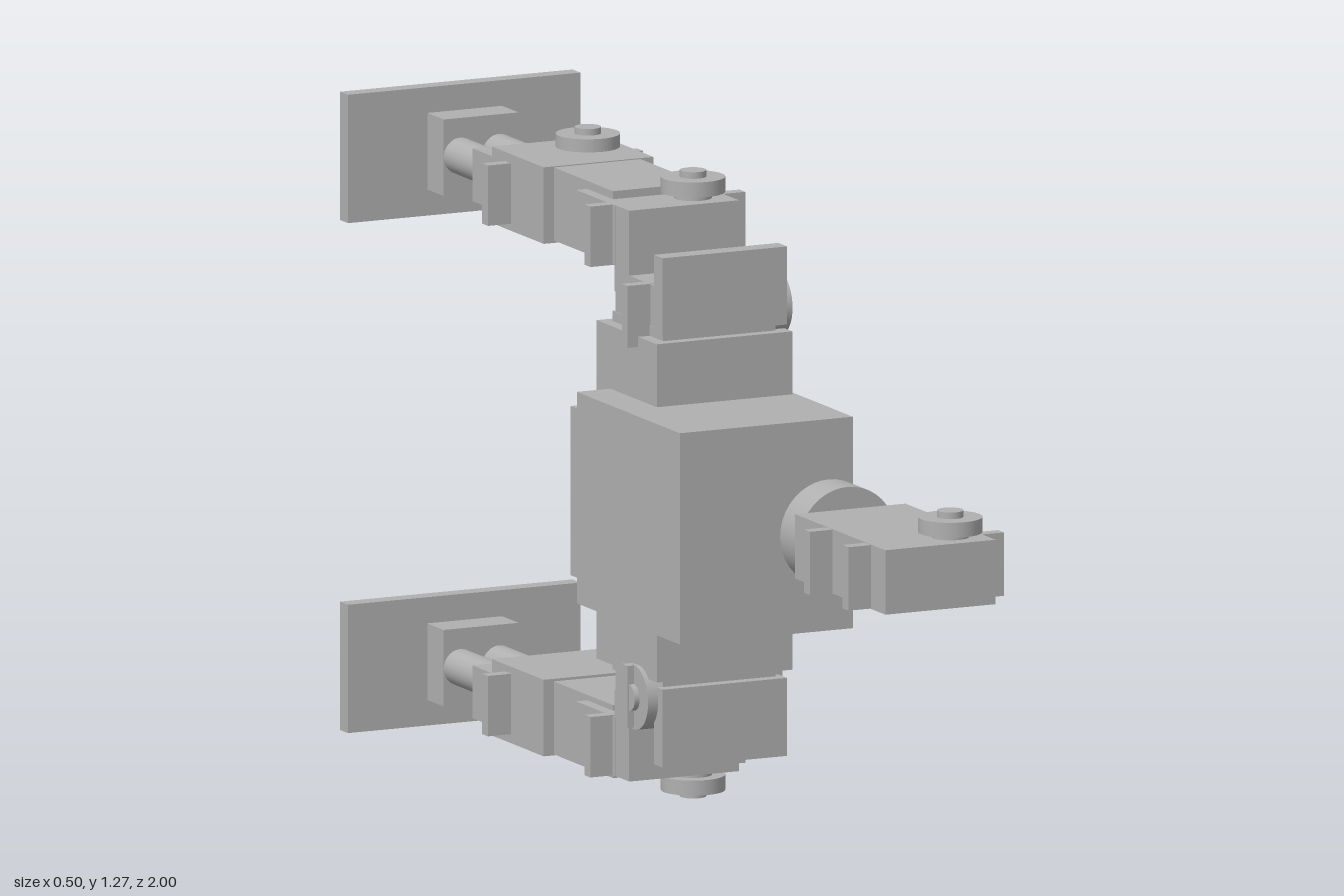
import * as THREE from 'three';

const MID = 0.634; // height of the mirror plane between the two arms

export function createModel() {
  const root = new THREE.Group();
  const grey = new THREE.MeshStandardMaterial({ color: 0xb0b0b0 });

  const add = (parent, geo, name) => {
    const mesh = new THREE.Mesh(geo, grey);
    mesh.name = name;
    parent.add(mesh);
    return mesh;
  };
  // box given by its extents along each axis
  const box = (parent, name, [x0, x1], [y0, y1], [z0, z1]) =>
    add(parent, new THREE.BoxGeometry(Math.abs(x1 - x0), Math.abs(y1 - y0), Math.abs(z1 - z0)), name)
      .position.set((x0 + x1) / 2, (y0 + y1) / 2, (z0 + z1) / 2);
  const cyl = (parent, name, r, h, pos, axis = 'y') => {
    const geo = new THREE.CylinderGeometry(r, r, h, 40);
    if (axis === 'z') geo.rotateX(Math.PI / 2);
    if (axis === 'x') geo.rotateZ(Math.PI / 2);
    add(parent, geo, name).position.set(...pos);
  };
  // flat joint knob: stem, wide disc and small cap; dir is up or down
  const knob = (parent, x, y, z, dir) => {
    const g = new THREE.Group();
    g.name = 'jointKnob';
    cyl(g, 'knobStem', 0.037, 0.03, [0, dir * 0.005, 0]);
    cyl(g, 'knobDisc', 0.063, 0.03, [0, dir * 0.025, 0]);
    cyl(g, 'knobCap', 0.026, 0.02, [0, dir * 0.043, 0]);
    g.position.set(x, y, z);
    parent.add(g);
  };

  // torso
  const body = new THREE.Group();
  body.name = 'body';
  box(body, 'spine', [-0.147, 0.147], [0.298, 0.97], [-0.08, 0.188]);
  box(body, 'housing', [-0.22, 0.155], [0.425, 0.845], [-0.018, 0.44]);
  box(body, 'housingBackStep', [-0.2, 0.135], [0.467, 0.803], [-0.086, -0.018]);
  root.add(body);

  // front sensor barrel with its separate ring
  const barrel = new THREE.Group();
  barrel.name = 'frontBarrel';
  cyl(barrel, 'barrelRing', 0.105, 0.084, [0.07, 0.635, 0.548], 'z');
  box(barrel, 'barrelBlock', [-0.048, 0.191], [0.57, 0.698], [0.6, 1]);
  for (const z of [0.753, 0.924])
    box(barrel, 'barrelClip', [-0.097, 0.24], [0.571, 0.697], [z - 0.013, z + 0.013]);
  knob(barrel, 0.125, 0.698, 0.934, 1);
  root.add(barrel);

  // upper and lower arms, mirrored in height
  for (const s of [1, -1]) {
    const arm = new THREE.Group();
    arm.name = s > 0 ? 'upperArm' : 'lowerArm';
    const Y = (y) => MID + s * (y - MID);
    const part = (name, x, [y0, y1], z) => box(arm, name, x, [Y(y0), Y(y1)], z);

    // shoulder
    part('neck', [-0.122, 0.122], [0.965, 0.99], [-0.06, 0.165]);
    part('shoulderPlate', [-0.135, 0.135], [0.985, 1.14], [0.15, 0.189]);
    part('shoulderBase', [-0.12, 0.118], [0.988, 1.072], [-0.052, 0.152]);
    part('shoulderPost', [-0.12, 0.118], [1.03, 1.201], [-0.055, 0.01]);
    part('shoulderClip', [-0.17, 0.166], [0.95, 1.073], [0.08, 0.105]);
    cyl(arm, 'shoulderDisc', 0.064, 0.035, [s * 0.139, Y(1.013), 0.105], 'x');
    cyl(arm, 'shoulderCap', 0.026, 0.02, [s * 0.157, Y(1.013), 0.105], 'x');

    // forearm segments
    part('elbowBlock', [-0.122, 0.118], [1.083, 1.201], [-0.222, -0.05]);
    part('forearm', [-0.098, 0.09], [1.072, 1.217], [-0.38, -0.107]);
    part('wristBlock', [-0.12, 0.118], [1.067, 1.219], [-0.6, -0.37]);
    part('wristEnd', [-0.12, 0.116], [1.095, 1.2], [-0.686, -0.595]);
    for (const z of [-0.073, -0.528])
      part('armClip', [-0.17, 0.166], [1.081, 1.201], [z - 0.013, z + 0.013]);
    knob(arm, 0.05, Y(1.203), -0.055, s);
    knob(arm, 0.05, Y(1.205), -0.522, s);

    // twin pistons and end pad
    for (const x of [-0.046, 0.038])
      cyl(arm, 'piston', 0.036, 0.22, [x, Y(1.142), -0.79], 'z');
    part('padMount', [-0.082, 0.08], [1.065, 1.217], [-0.967, -0.892]);
    part('pad', [-0.254, 0.25], [1.013, 1.268], [-1, -0.965]);
    root.add(arm);
  }
  return root;
}
